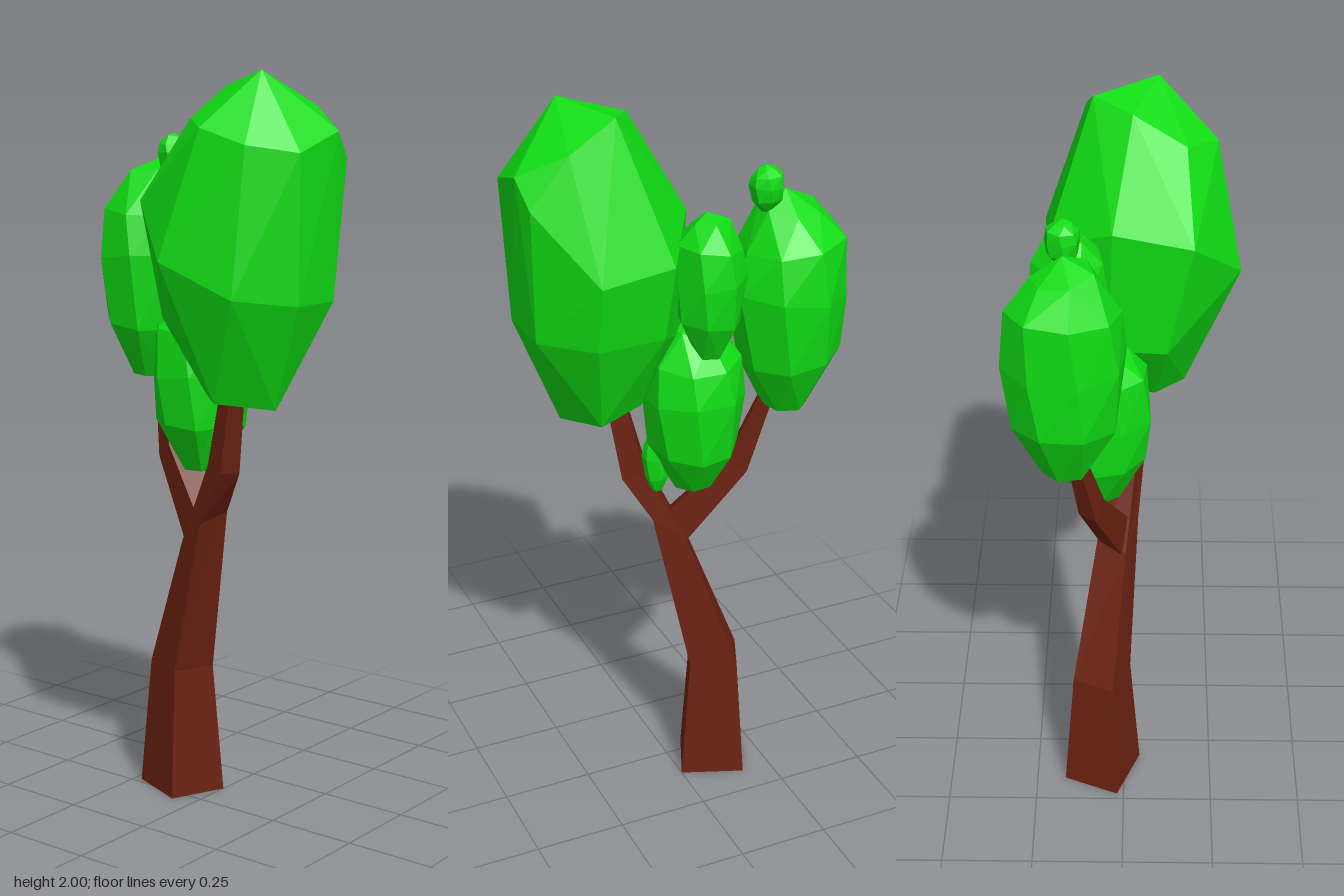
import * as THREE from 'three';
import { ConvexGeometry } from 'three/addons/geometries/ConvexGeometry.js';

const bark = new THREE.MeshStandardMaterial({ color: 0x6b2211, flatShading: true });
const leaf = new THREE.MeshStandardMaterial({ color: 0x10dd14, flatShading: true });

// Four-sided limb through sections [x, y, z, scale, slope]
function limb(name, sections) {
  const pos = [], index = [];
  const corners = [[0.05, 0.107], [0.115, -0.043], [-0.05, -0.107], [-0.115, 0.043]];
  for (const [x, y, z, s, slope = 0] of sections)
    for (const [dx, dz] of corners) pos.push(x + dx * s, y + dx * s * slope, z + dz * s);
  const n = sections.length;
  for (let i = 0; i < n - 1; i++)
    for (let j = 0; j < 4; j++) {
      const a = i * 4 + j, b = i * 4 + (j + 1) % 4;
      index.push(a, b, b + 4, a, b + 4, a + 4);
    }
  const t = (n - 1) * 4;
  index.push(0, 2, 1, 0, 3, 2, t, t + 1, t + 2, t, t + 2, t + 3);
  let g = new THREE.BufferGeometry();
  g.setAttribute('position', new THREE.Float32BufferAttribute(pos, 3));
  g.setIndex(index);
  g = g.toNonIndexed();
  g.computeVertexNormals();
  const m = new THREE.Mesh(g, bark);
  m.name = name;
  return m;
}

// Faceted clump of leaves wrapped around a set of points
function hull(name, points) {
  const m = new THREE.Mesh(new ConvexGeometry(points.map(p => new THREE.Vector3(...p))), leaf);
  m.name = name;
  return m;
}

// Irregular egg-shaped clump fitted to the box min..max
function clump(name, min, max, sides, seed) {
  const rings = [[-1, 0.38], [-0.5, 0.87], [0.1, 1], [0.55, 0.9], [0.86, 0.5]];
  const pts = [[0.1, 1, 0]];
  rings.forEach(([y, r], i) => {
    const count = i === 0 || i === 4 ? sides - 2 : sides;
    for (let j = 0; j < count; j++) {
      const a = (j / count) * Math.PI * 2 + seed + i * 0.12;
      const wobble = Math.sin(seed * 7 + i * 3.1 + j * 5.3);
      pts.push([r * Math.cos(a) * (1 + 0.05 * wobble), y + (i ? 0.05 * wobble : 0), r * Math.sin(a)]);
    }
  });
  const m = hull(name, pts);
  m.geometry.computeBoundingBox();
  const box = m.geometry.boundingBox;
  const size = box.getSize(new THREE.Vector3());
  m.geometry.translate(-box.min.x, -box.min.y, -box.min.z);
  m.geometry.scale(...[0, 1, 2].map(k => (max[k] - min[k]) / size.getComponent(k)));
  m.geometry.translate(...min);
  m.geometry.computeVertexNormals();
  return m;
}

export function createModel() {
  const tree = new THREE.Group();
  tree.name = 'tree';

  // Bent trunk and its two branches
  tree.add(
    limb('trunk', [[-0.115, 0, -0.062, 1], [-0.115, 0.36, -0.062, 0.74], [0, 0.78, -0.018, 0.52, 0.75]]),
    limb('leftBranch', [[-0.01, 0.78, -0.025, 0.42, 1], [-0.167, 0.97, -0.085, 0.31, 0.75],
      [-0.23, 1.18, -0.125, 0.2, 0.2], [-0.25, 1.28, -0.135, 0.18]]),
    limb('rightBranch', [[0, 0.78, -0.018, 0.52, 0.75], [0.09, 0.955, 0.015, 0.36, -0.2],
      [0.135, 1.18, 0.035, 0.27], [0.145, 1.28, 0.04, 0.25]])
  );

  // Large crown, leaning outward towards its top
  tree.add(hull('mainCrown', [
    [0.26, 2, 0.085], [0.17, 1.98, -0.08], [0.1, 1.96, 0.02], [0.3, 1.91, -0.1],
    [0.09, 1.88, 0.155], [0.18, 1.86, 0.235], [0.415, 1.85, -0.03], [0.4, 1.78, -0.09],
    [0.405, 1.8, 0.12], [0.31, 1.82, 0.22], [-0.06, 1.67, 0.175], [-0.04, 1.7, -0.03],
    [0.065, 1.62, -0.2], [0.265, 1.6, -0.21], [0.1, 1.53, 0.3], [0.285, 1.44, 0.24],
    [0.39, 1.42, 0.1], [0.385, 1.42, -0.06], [0.265, 1.42, -0.18], [0.08, 1.42, -0.17],
    [-0.04, 1.36, 0.11], [-0.025, 1.36, -0.04], [0.08, 1.17, 0.08], [0.17, 1.16, 0.16],
    [0.285, 1.14, 0.05], [0.22, 1.16, -0.08], [0.1, 1.19, -0.06]
  ]));

  // Smaller leaf clumps
  tree.add(
    clump('leftCrown', [-0.42, 1.16, -0.3], [-0.12, 1.76, 0.01], 8, 0.3),
    clump('topBud', [-0.252, 1.71, -0.19], [-0.165, 1.83, -0.102], 7, 1.1),
    clump('backClump', [-0.145, 1.34, -0.24], [0.035, 1.73, -0.04], 7, 0.6),
    clump('lowerClump', [-0.175, 0.93, -0.2], [0.08, 1.42, 0.07], 8, 0.9),
    clump('lowerBud', [0.005, 0.91, -0.065], [0.08, 1.09, 0.008], 7, 0.2)
  );
  return tree;
}
